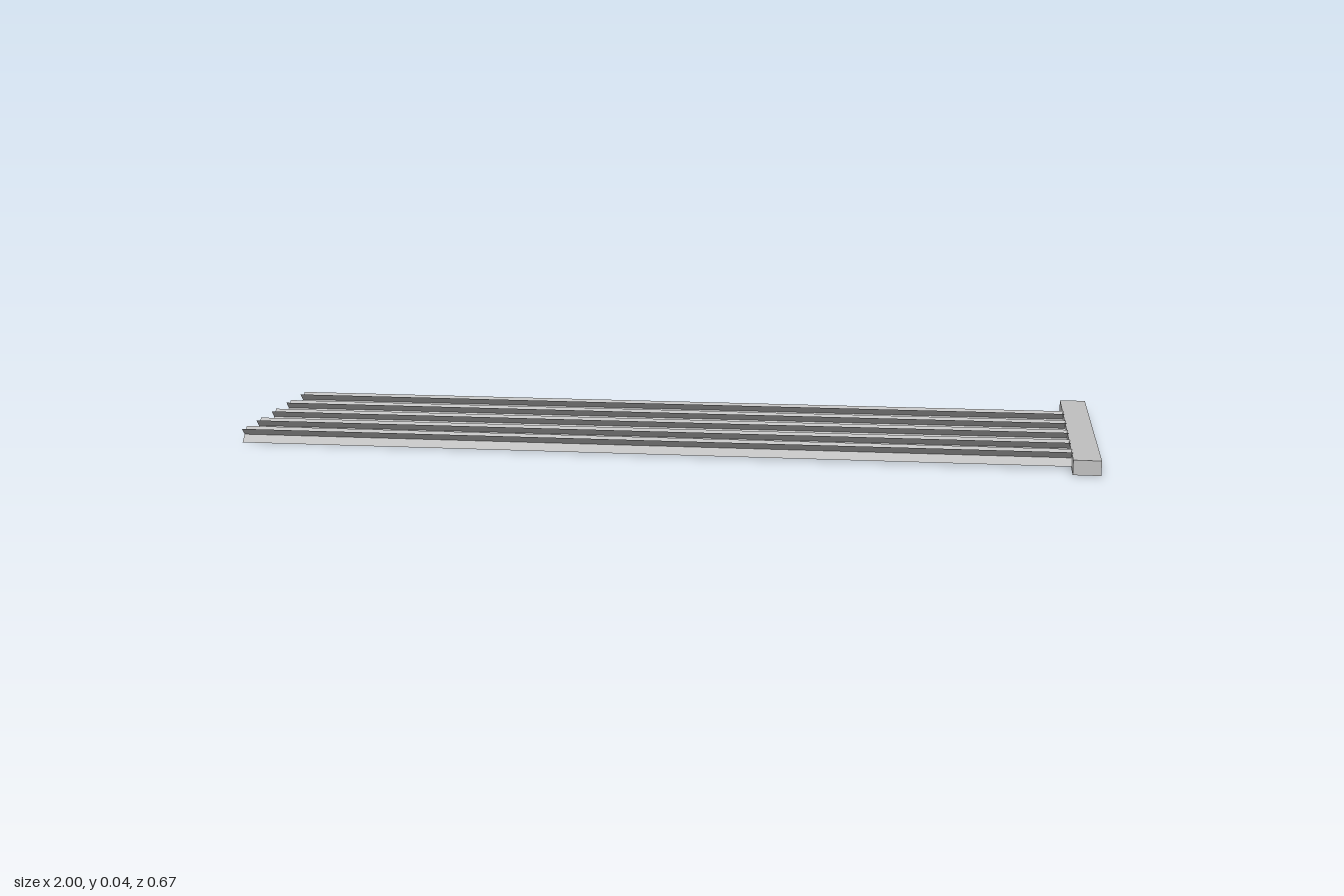
import * as THREE from 'three';

export function createModel() {
  const model = new THREE.Group();
  const steel = new THREE.MeshStandardMaterial({ color: 0xc0c0c0, side: THREE.DoubleSide });
  steel.name = 'grey steel';

  // Cross bar joining the tines
  const bar = new THREE.Mesh(new THREE.BoxGeometry(0.062, 0.034, 0.666), steel);
  bar.name = 'crossBar';
  bar.position.set(0.969, 0.02, 0);
  model.add(bar);

  // Tines: two thin strips crossing along their length, slightly tilted
  const length = 1.94, size = 0.033;
  const strips = [1, -1].map((s) =>
    new THREE.PlaneGeometry(length, size * Math.SQRT2).rotateX(s * Math.PI / 4));
  [-0.162, -0.055, 0.053, 0.16, 0.257].forEach((z, i) => {
    const tine = new THREE.Group();
    tine.name = `tine${i + 1}`;
    for (const strip of strips) {
      const mesh = new THREE.Mesh(strip, steel);
      mesh.name = 'tineStrip';
      tine.add(mesh);
    }
    tine.position.set(-0.03, 0.02, z);
    tine.rotation.set(0, 0.007 / length, 0.007 / length);
    model.add(tine);
  });

  return model;
}
